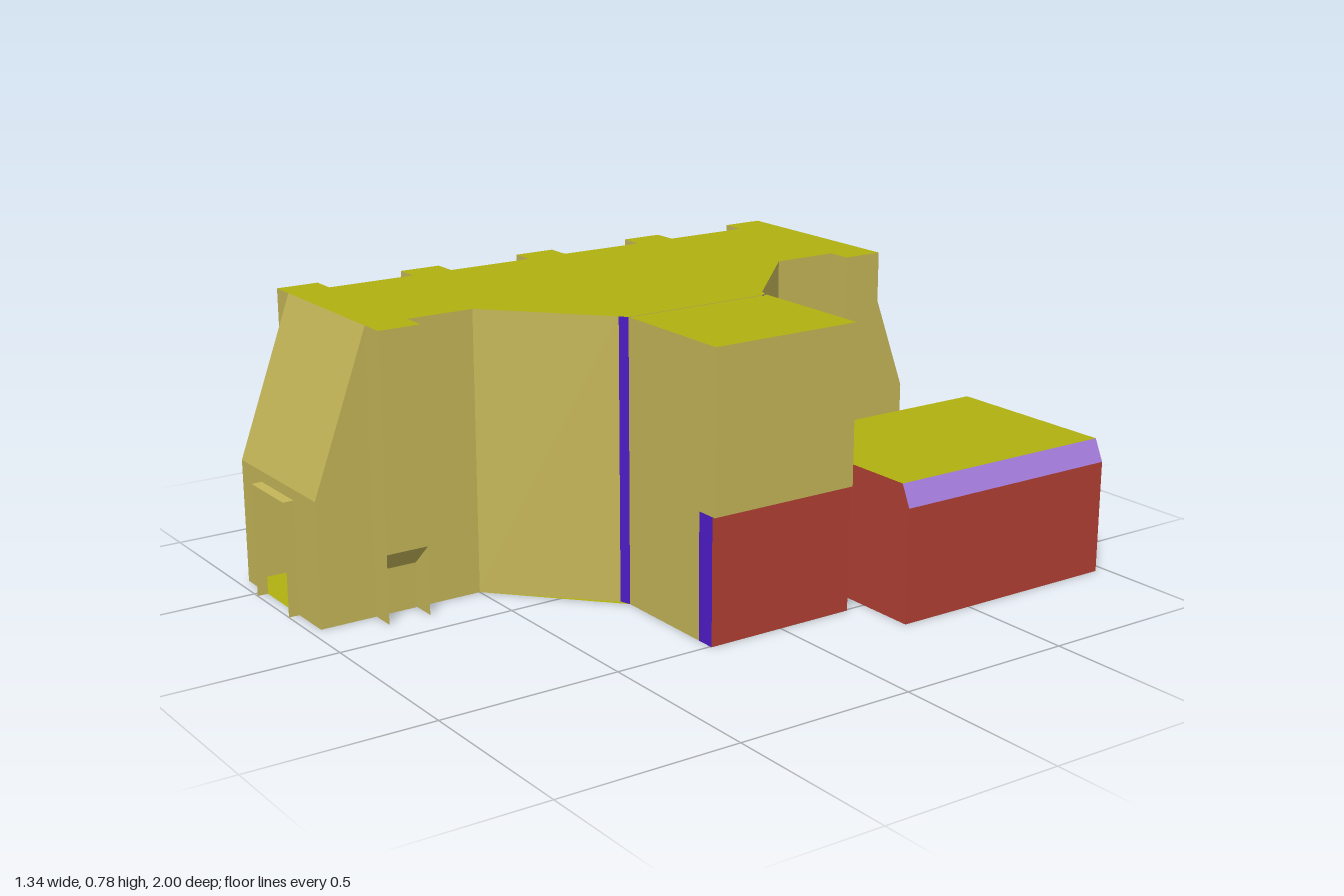
import * as THREE from 'three';
import { mergeGeometries } from 'three/addons/utils/BufferGeometryUtils.js';

const mat = (color) => new THREE.MeshStandardMaterial({ color, flatShading: true, side: THREE.DoubleSide });
const WALL = mat(0xc4b658), ROOF = mat(0xb0b010), RED = mat(0xb24034), PURPLE = mat(0x4e1cc8), LILAC = mat(0xa47cdc);

// Flat polygon from 3D corners (convex, fan of triangles)
function poly(...pts) {
  const v = [];
  for (let i = 1; i < pts.length - 1; i++) v.push(...pts[0], ...pts[i], ...pts[i + 1]);
  const g = new THREE.BufferGeometry();
  g.setAttribute('position', new THREE.Float32BufferAttribute(v, 3));
  g.computeVertexNormals();
  return g;
}
// Upright wall between two plan points [x, z]
const wall = (a, b, y0, y1) => poly([a[0], y0, a[1]], [b[0], y0, b[1]], [b[0], y1, b[1]], [a[0], y1, a[1]]);
// Horizontal slab from a plan rectangle
const flat = (x0, x1, z0, z1, y) => poly([x0, y, z1], [x1, y, z1], [x1, y, z0], [x0, y, z0]);
// Wall along x with a doorway cut to the ground
const doorWall = (x0, x1, d0, d1, z, h, dh) => [
  wall([x0, z], [d0, z], 0, h), wall([d1, z], [x1, z], 0, h), wall([d0, z], [d1, z], dh, h)];
// Open doorway surround: two jambs and a lintel
const surround = (d0, d1, z0, z1, h) => [
  wall([d0, z0], [d0, z1], 0, h), wall([d1, z0], [d1, z1], 0, h),
  flat(d0, d1, Math.min(z0, z1), Math.max(z0, z1), h)];

export function createModel() {
  const model = new THREE.Group();
  const add = (name, material, geos) => {
    const m = new THREE.Mesh(mergeGeometries(geos), material);
    m.name = name;
    model.add(m);
  };

  const H = 0.78, L = -0.60, R = -0.165, EAVE = 0.345, DOOR = 0.315;
  const zTop = 0.81, zEnd = 0.97;
  const neck = [0.11, 0.23], bx = 0.145, bz = 0.22, bEnd = 0.515, lowEnd = 0.505;

  // Long hall: left side wall with sloped ends
  add('hallLeftWall', WALL, [poly([L, 0, -zEnd], [L, 0, zEnd], [L, EAVE, zEnd], [L, H, zTop], [L, H, -zTop], [L, EAVE, -zEnd])]);

  for (const s of [1, -1]) {
    const side = s > 0 ? 'front' : 'back';
    // Hall ends: side wall, doorway, sloped hip and door surround
    add(side + 'HallRightWall', WALL, [poly([R, 0, s * 0.5], [R, 0, s * zEnd], [R, EAVE, s * zEnd], [R, H, s * zTop], [R, H, s * 0.5])]);
    add(side + 'EndWall', WALL, doorWall(L, R, -0.48, -0.29, s * zEnd, EAVE, DOOR));
    add(side + 'EndSlope', WALL, [poly([L, EAVE, s * zEnd], [R, EAVE, s * zEnd], [R, H, s * zTop], [L, H, s * zTop])]);
    add(side + 'DoorSurround', WALL, surround(-0.48, -0.29, s * zEnd, s, DOOR));
    // Slanting wing wall and the narrow strip at its neck
    add(side + 'WingWall', WALL, [wall([R, s * 0.5], [neck[0], s * neck[1]], 0, H)]);
    add(side + 'NeckStrip', PURPLE, [wall([neck[0], s * neck[1]], [0.14, s * bz], 0, H)]);
    // Corner strip at the foot of the side block
    add(side + 'CornerStrip', PURPLE, [wall([0.45, s * bz], [lowEnd, s * bz], 0, EAVE)]);
  }

  // Side block
  add('blockFrontWall', WALL, [wall([0.14, bz], [0.45, bz], 0, H), wall([0.45, bz], [bEnd, bz], EAVE, H)]);
  add('blockBackWall', WALL, [
    ...doorWall(0.14, 0.45, 0.225, 0.41, -bz, H, DOOR), wall([0.45, -bz], [bEnd, -bz], EAVE, H)]);
  add('blockUpperEnd', WALL, [wall([bEnd, bz], [bEnd, -bz], EAVE, H), flat(lowEnd, bEnd, -bz, bz, EAVE)]);
  add('blockLowerEnd', RED, [wall([lowEnd, bz], [lowEnd, -bz], 0, EAVE)]);

  // Roof and floor share one plan
  const plan = (y, zHall, xEnd) => [
    flat(L, R, -zHall, zHall, y),
    poly([R, y, 0.5], [neck[0], y, neck[1]], [0.14, y, bz], [0.14, y, -bz], [neck[0], y, -neck[1]], [R, y, -0.5]),
    flat(bx, xEnd, -bz, bz, y)];
  add('roof', ROOF, plan(H, zTop, bEnd));
  add('floor', ROOF, plan(0, zEnd, lowEnd));

  // Buttresses: thin cheeks to the ground, outer face stopping above a sloped soffit
  const buttress = (x, out, zc) => {
    const a = zc - 0.06, b = zc + 0.06;
    add('buttress', WALL, [
      wall([x, a], [out, a], 0, H), wall([x, b], [out, b], 0, H),
      wall([out, a], [out, b], 0.19, H),
      poly([out, 0.19, a], [out, 0.19, b], [x, 0.125, b], [x, 0.125, a])]);
    add('buttressTop', ROOF, [flat(Math.min(x, out), Math.max(x, out), a, b, H)]);
  };
  for (const z of [-0.75, -0.375, 0, 0.375, 0.75]) buttress(L, -0.67, z);
  for (const z of [-0.75, 0.75]) buttress(R, -0.095, z);

  // Link between block and annex
  add('blockLink', WALL, surround(0.225, 0.41, -0.22, -0.25, DOOR));
  add('annexLink', RED, surround(0.225, 0.41, -0.25, -0.28, DOOR));

  // Annex with chamfered roof edges
  const x0 = 0.1, x1 = 0.668, c = 0.028, h = 0.375, zf = -0.28, zb = -0.97;
  const gable = (z) => poly([x0, DOOR, z], [x1, DOOR, z], [x1 - c, h, z], [x0 + c, h, z]);
  add('annexWalls', RED, [
    ...doorWall(x0, x1, 0.225, 0.41, zf, DOOR, DOOR - 0.001), gable(zf), gable(zb),
    wall([x0, zb], [x1, zb], 0, DOOR), wall([x0, zf], [x0, zb], 0, DOOR), wall([x1, zf], [x1, zb], 0, DOOR)]);
  add('annexChamfers', LILAC, [[x0, x0 + c], [x1, x1 - c]].map(([a, b]) =>
    poly([a, DOOR, zf], [a, DOOR, zb], [b, h, zb], [b, h, zf])));
  add('annexRoof', ROOF, [flat(x0 + c, x1 - c, zb, zf, h)]);
  add('annexFloor', ROOF, [flat(x0, x1, zb, zf, 0)]);

  return model;
}
